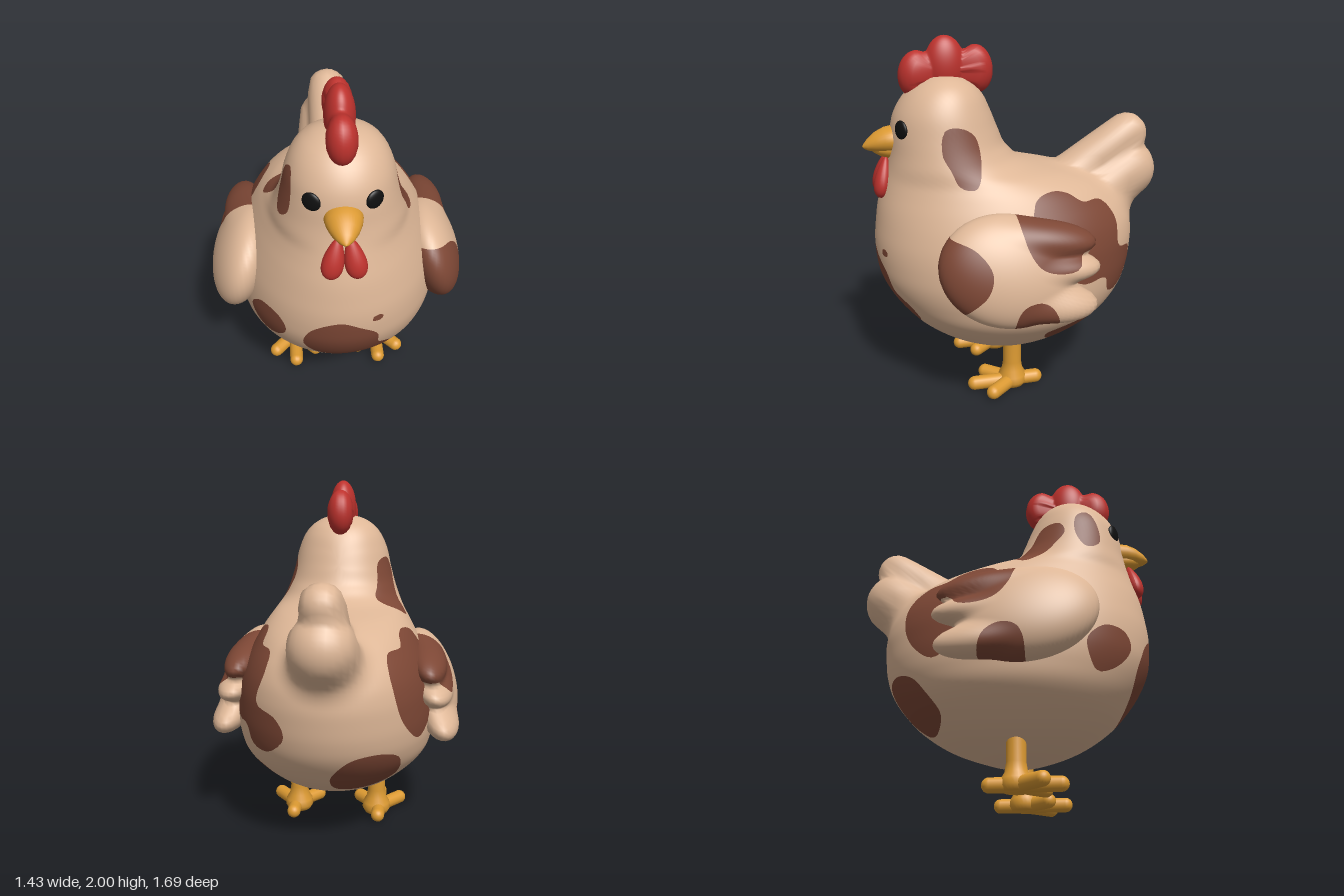
import * as THREE from 'three';
import { mergeVertices } from 'three/addons/utils/BufferGeometryUtils.js';

const mat = (name, color) => Object.assign(new THREE.MeshStandardMaterial({ color }), { name });
const feather = mat('cream feather', 0xdeb797), brown = mat('brown patch', 0x7d4735);
const red = mat('comb red', 0xbd322d), orange = mat('beak orange', 0xdc9a32), black = mat('eye black', 0x101010);

// soft shapes: negative inside, blended with a smooth minimum
const smin = (a, b, k) => { const h = Math.max(k - Math.abs(a - b), 0) / k; return Math.min(a, b) - h * h * k / 4; };
const ellipsoid = (x, y, z, c, r, tilt = 0) => {
  const dy = y - c[1], dz = z - c[2], s = Math.sin(tilt), k = Math.cos(tilt);
  return (Math.hypot((x - c[0]) / r[0], (dy * k - dz * s) / r[1], (dy * s + dz * k) / r[2]) - 1) * Math.min(...r);
};
const capsule = (x, y, z, a, b, r) => {
  const dy = b[0] - a[0], dz = b[1] - a[1];
  const t = THREE.MathUtils.clamp(((y - a[0]) * dy + (z - a[1]) * dz) / (dy * dy + dz * dz), 0, 1);
  return Math.hypot(x, y - a[0] - t * dy, z - a[1] - t * dz) - r;
};

// skin of a soft shape, found along rays from a point inside it
function skin(c, f, w, h, reach) {
  const g = new THREE.SphereGeometry(1, w, h), p = g.attributes.position, d = new THREE.Vector3();
  for (let i = 0; i < p.count; i++) {
    d.fromBufferAttribute(p, i).normalize();
    const at = t => f(c[0] + d.x * t, c[1] + d.y * t, c[2] + d.z * t);
    let hi = reach;
    while (hi > 0.02 && at(hi - 0.01) > 0) hi -= 0.01;
    let lo = hi - 0.01;
    for (let n = 0; n < 14; n++) { const m = (lo + hi) / 2; if (at(m) > 0) hi = m; else lo = m; }
    p.setXYZ(i, c[0] + d.x * lo, c[1] + d.y * lo, c[2] + d.z * lo);
  }
  g.deleteAttribute('uv'); g.deleteAttribute('normal');
  const out = mergeVertices(g, 1e-5);
  out.computeVertexNormals();
  return out;
}

// patch: closed curve of (u, y) points seen from a heading in degrees; positive inside
function patch(heading, pts, facing = true) {
  const a = heading * Math.PI / 180, s = Math.sin(a), c = Math.cos(a);
  const poly = new THREE.CatmullRomCurve3(pts.map(q => new THREE.Vector3(q[0], q[1], 0)), true).getPoints(48);
  return (x, y, z) => {
    if (facing && x * s + (z - 0.05) * c < 0) return -1;
    const u = x * c - z * s;
    let inside = false, best = 9;
    for (let i = 0; i < 48; i++) {
      const p = poly[i], q = poly[i + 1], dx = q.x - p.x, dy = q.y - p.y;
      if ((p.y > y) !== (q.y > y) && u < p.x + dx * (y - p.y) / dy) inside = !inside;
      const t = THREE.MathUtils.clamp(((u - p.x) * dx + (y - p.y) * dy) / (dx * dx + dy * dy || 1), 0, 1);
      best = Math.min(best, Math.hypot(u - p.x - t * dx, y - p.y - t * dy));
    }
    return inside ? best : -best;
  };
}
// side patch written in (z, y); side +1 or -1
const sidePatch = (side, pts, facing) => patch(90 * side, pts.map(([z, y]) => [-z * side, y]), facing);

// split a surface cleanly along the patch edges into two colour groups
function paint(geo, patches) {
  const P = geo.attributes.position, N = geo.attributes.normal, idx = geo.index.array, verts = [];
  for (let i = 0; i < P.count; i++) {
    const v = [P.getX(i), P.getY(i), P.getZ(i), N.getX(i), N.getY(i), N.getZ(i)];
    v.push(Math.max(...patches.map(f => f(v[0], v[1], v[2]))));
    verts.push(v);
  }
  const out = new THREE.BufferGeometry(), pos = [], nor = [];
  [false, true].forEach((want, group) => {
    const start = pos.length / 3;
    for (let i = 0; i < idx.length; i += 3) {
      const ring = [];
      for (let k = 0; k < 3; k++) {
        const a = verts[idx[i + k]], b = verts[idx[i + (k + 1) % 3]];
        if ((a[6] > 0) === want) ring.push(a);
        if ((a[6] > 0) !== (b[6] > 0)) { const t = a[6] / (a[6] - b[6]); ring.push(a.map((v, j) => v + (b[j] - v) * t)); }
      }
      for (let k = 1; k + 1 < ring.length; k++)
        for (const v of [ring[0], ring[k], ring[k + 1]]) { pos.push(v[0], v[1], v[2]); nor.push(v[3], v[4], v[5]); }
    }
    out.addGroup(start, pos.length / 3 - start, group);
  });
  out.setAttribute('position', new THREE.Float32BufferAttribute(pos, 3));
  out.setAttribute('normal', new THREE.Float32BufferAttribute(nor, 3));
  return out;
}

// body rings: y, half width, front z, back z
const rings = [
  [0.2, 0.04, 0.1, 0.02], [0.215, 0.13, 0.19, -0.06], [0.25, 0.23, 0.31, -0.17], [0.3, 0.325, 0.43, -0.3],
  [0.4, 0.45, 0.58, -0.46], [0.5, 0.535, 0.675, -0.56], [0.6, 0.565, 0.745, -0.63], [0.7, 0.575, 0.79, -0.665],
  [0.8, 0.57, 0.807, -0.68], [0.9, 0.555, 0.81, -0.685], [1.0, 0.525, 0.8, -0.665], [1.1, 0.48, 0.785, -0.6],
  [1.2, 0.425, 0.76, -0.47], [1.26, 0.385, 0.743, -0.3], [1.31, 0.355, 0.728, -0.07], [1.4, 0.32, 0.71, 0.06],
  [1.5, 0.292, 0.7, 0.11], [1.6, 0.268, 0.675, 0.15], [1.7, 0.22, 0.61, 0.2], [1.75, 0.17, 0.55, 0.25],
  [1.785, 0.1, 0.48, 0.32], [1.8, 0.03, 0.42, 0.38]];
const table = new THREE.CubicInterpolant(rings.map(r => r[0]), rings.flatMap(r => r.slice(1)), 3, new Float32Array(3));

function bodyShape(x, y, z) {
  const [w, f, b] = table.evaluate(THREE.MathUtils.clamp(y, 0.2001, 1.7999)), rz = (f - b) / 2;
  const core = Math.max((Math.hypot(x / w, (z - (f + b) / 2) / rz) - 1) * Math.min(w, rz), y - 1.8, 0.2 - y);
  const tail = smin(capsule(x, y, z, [1.0, -0.35], [1.21, -0.66], 0.18),
    capsule(x, y, z, [1.15, -0.25], [1.42, -0.665], 0.12), 0.025);
  return smin(core, tail, 0.09);
}

const wingShape = side => (x0, y, z) => {
  const x = x0 * side + 0.24 * (y - 0.85);
  const main = ellipsoid(x, y, z, [0.54, 0.85, 0.17], [0.16, 0.285, 0.365], 0.2);
  const quills = [[1.01, -0.03, 0.09, 0.275, 0.15], [0.86, -0.08, 0.08, 0.24, 0.05], [0.68, -0.05, 0.1, 0.245, 0.1]]
    .map(([cy, cz, ry, rz, t]) => ellipsoid(x, y, z, [0.565, cy, cz], [0.105, ry, rz], t));
  return quills.reduce((a, q) => smin(a, q, 0.025), main);
};

const rearPatch = [[0, 1.17], [-0.1, 1.21], [-0.2, 1.19], [-0.28, 1.14], [-0.4, 1.13], [-0.49, 1.02], [-0.5, 0.87]];
const bodyPatches = [
  patch(0, [[-0.21, 0.65], [-0.17, 0.79], [-0.02, 0.87], [0.09, 0.82], [0.18, 0.74], [0.19, 0.64], [0.26, 0.57], [0.24, 0.49], [0.07, 0.42], [-0.1, 0.5]]),
  patch(0, [[0.14, 0.865], [0.175, 0.89], [0.21, 0.865], [0.175, 0.845]]),
  patch(0, [[-0.48, 0.73], [-0.42, 0.82], [-0.34, 0.81], [-0.3, 0.73], [-0.35, 0.61], [-0.41, 0.57], [-0.46, 0.63]]),
  patch(-150, [[-0.25, 0.48], [-0.2, 0.6], [-0.03, 0.63], [0.12, 0.57], [0.15, 0.42], [0, 0.35], [-0.17, 0.37]]),
  sidePatch(1, [[0.46, 1.42], [0.44, 1.54], [0.36, 1.55], [0.28, 1.5], [0.26, 1.35], [0.3, 1.25], [0.38, 1.26], [0.42, 1.34]]),
  sidePatch(-1, [[0.34, 1.55], [0.24, 1.54], [0.17, 1.42], [0.07, 1.31], [0.14, 1.24], [0.24, 1.3], [0.32, 1.4], [0.37, 1.48]]),
  sidePatch(-1, [[0.56, 1.4], [0.55, 1.55], [0.5, 1.63], [0.44, 1.6], [0.43, 1.46], [0.49, 1.36]]),
  sidePatch(1, [...rearPatch, [-0.6, 0.83], [-0.62, 0.72], [-0.52, 0.61], [-0.43, 0.62], [-0.4, 0.72], [-0.25, 0.72], [0, 0.9]]),
  sidePatch(-1, [...rearPatch, [-0.44, 0.74], [-0.32, 0.65], [-0.22, 0.7], [0, 0.9]]),
  sidePatch(1, [[-0.06, 0.42], [-0.15, 0.46], [-0.35, 0.47], [-0.33, 0.41], [-0.2, 0.33], [-0.1, 0.33]])];

const wingTop = [[0.1, 1.2], [0.1, 1.03], [0.03, 0.9], [-0.07, 0.86], [-0.18, 0.87], [-0.22, 0.935], [-0.35, 0.95], [-0.4, 1.1], [-0.2, 1.2]];
const wingLow = [[0.16, 0.64], [0.12, 0.71], [0.03, 0.725], [-0.04, 0.67], [-0.06, 0.5], [0.14, 0.5]];
const wingFront = [[0.62, 1.06], [0.46, 1.04], [0.35, 1.0], [0.28, 0.9], [0.3, 0.8], [0.38, 0.71], [0.5, 0.6], [0.66, 0.8]];

export function createModel() {
  const model = new THREE.Group();
  const add = (name, geo, material, parent = model) => {
    const m = new THREE.Mesh(geo, material);
    m.name = name;
    parent.add(m);
    return m;
  };

  add('bodyAndTail', paint(skin([0, 0.75, 0.12], bodyShape, 160, 120, 1.3), bodyPatches), [feather, brown]);

  // comb with three lobes
  const comb = (x, y, z) => [[1.8, 0.55, 0.125, 0.092, 0.15], [1.84, 0.39, 0.16, 0.11, 0], [1.82, 0.22, 0.13, 0.092, -0.1]]
    .map(([cy, cz, ry, rz, t]) => ellipsoid(x, y, z, [0, cy, cz], [0.077, ry, rz], t)).reduce((a, b) => smin(a, b, 0.02));
  add('comb', skin([0, 1.8, 0.39], comb, 64, 48, 0.4), red);

  // beak halves: pointed lathes bent downward at the tip
  const beakHalf = (name, y, z, sx, sy, length, droop) => {
    const pts = [[1, -0.3], [1, 0], [0.93, 0.25], [0.73, 0.55], [0.42, 0.82], [0.15, 0.96], [0, 1]];
    const g = new THREE.LatheGeometry(pts.map(p => new THREE.Vector2(p[0], p[1])), 32).rotateX(Math.PI / 2);
    g.scale(sx, sy, length);
    const p = g.attributes.position;
    for (let i = 0; i < p.count; i++) p.setY(i, p.getY(i) - droop * Math.max(0, p.getZ(i) / length) ** 2);
    g.computeVertexNormals();
    add(name, g, orange).position.set(0, y, z);
  };
  beakHalf('upperBeak', 1.455, 0.69, 0.095, 0.075, 0.16, 0.035);
  beakHalf('lowerBeak', 1.405, 0.69, 0.075, 0.055, 0.12, -0.005);

  for (const side of [1, -1]) {
    const label = side > 0 ? 'left' : 'right';

    const spots = [wingTop, wingLow, ...(side > 0 ? [wingFront] : [])].map(p => sidePatch(side, p, false));
    add(label + 'Wing', paint(skin([0.54 * side, 0.85, 0.12], wingShape(side), 96, 72, 0.6), spots), [feather, brown]);

    // eye, a flat disc lying on the head
    const eye = add(label + 'Eye', new THREE.SphereGeometry(1, 24, 16), black);
    eye.position.set(0.15 * side, 1.53, 0.65);
    eye.scale.set(0.05, 0.052, 0.018);
    eye.rotation.y = 0.53 * side;

    // wattle, a teardrop narrowing upward
    const drop = new THREE.SphereGeometry(1, 24, 20), p = drop.attributes.position;
    for (let i = 0; i < p.count; i++) {
      const k = 1 - 0.4 * p.getY(i);
      p.setXYZ(i, p.getX(i) * k * 0.052, p.getY(i) * 0.115, p.getZ(i) * k * 0.042);
    }
    drop.computeVertexNormals();
    const wattle = add(label + 'Wattle', drop, red);
    wattle.position.set(0.05 * side, 1.26, 0.75);
    wattle.rotation.set(-0.2, 0, 0.2 * side);

    // leg with flared ankle, three front toes and one back toe
    const leg = new THREE.Group();
    leg.name = label + 'Leg';
    leg.position.set(0.255 * side, 0, 0.08);
    model.add(leg);
    const shin = [[0, 0.01], [0.07, 0.012], [0.085, 0.04], [0.08, 0.075], [0.06, 0.11], [0.052, 0.16], [0.052, 0.32]];
    add('shin', new THREE.LatheGeometry(shin.map(q => new THREE.Vector2(q[0], q[1])), 24), orange, leg)
      .position.x = -0.015 * side;
    for (const [angle, length] of [[0, 0.265], [0.72, 0.225], [-0.72, 0.225], [Math.PI, 0.175]]) {
      const toe = new THREE.CapsuleGeometry(0.04, length - 0.04, 8, 16);
      toe.rotateX(Math.PI / 2).translate(0, 0.045, (length - 0.04) / 2).rotateY(angle);
      add('toe', toe, orange, leg);
    }
  }
  return model;
}
